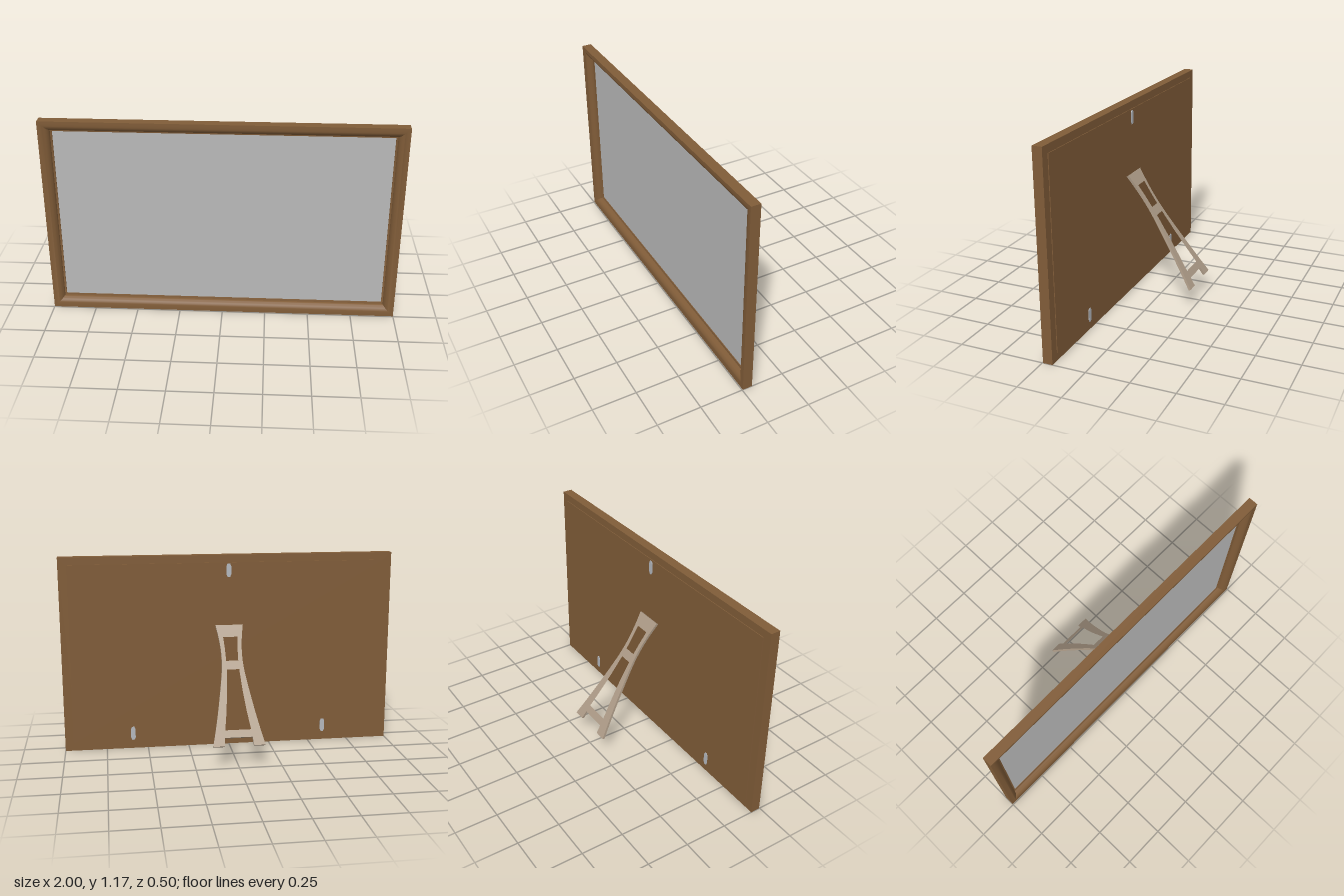
import * as THREE from 'three';
import { toCreasedNormals } from 'three/addons/utils/BufferGeometryUtils.js';

const material = (name, color) => {
  const m = new THREE.MeshStandardMaterial({ color });
  m.name = name;
  return m;
};

const W = 1, H = 1.175; // half width and full height of the frame
const BACK = 0.19, FRONT = 0.246;

// Sweeps a closed [inset, z] profile round the rectangle with mitred corners
function mitredFrame(profile) {
  const corner = (i, [d, z]) => [
    [-W + d, d, z], [W - d, d, z], [W - d, H - d, z], [-W + d, H - d, z],
  ][i % 4];
  const pos = [];
  for (let side = 0; side < 4; side++) {
    for (let k = 0; k < profile.length; k++) {
      const p = profile[k], q = profile[(k + 1) % profile.length];
      const a = corner(side, p), b = corner(side + 1, p);
      const c = corner(side + 1, q), d = corner(side, q);
      pos.push(...a, ...b, ...c, ...a, ...c, ...d);
    }
  }
  const g = new THREE.BufferGeometry();
  g.setAttribute('position', new THREE.Float32BufferAttribute(pos, 3));
  return toCreasedNormals(g, 0.5);
}

// Shape from [halfWidth, distanceDown] pairs, mirrored across x = 0
function mirrored(points, Type) {
  const right = points.map(([x, t]) => new THREE.Vector2(x, -t));
  const left = points.map(([x, t]) => new THREE.Vector2(-x, -t)).reverse();
  return new Type([...right, ...left]);
}

export function createModel() {
  const model = new THREE.Group();
  model.name = 'pictureFrame';
  const wood = material('brown wood', 0x805c38);
  const glass = material('grey pane', 0xb8b8b8);
  const beige = material('beige stand', 0xac9a86);
  const steel = material('steel', 0xb4b8be);

  const add = (name, geometry, mat, x = 0, y = 0, z = 0, parent = model) => {
    const mesh = new THREE.Mesh(geometry, mat);
    mesh.name = name;
    mesh.position.set(x, y, z);
    parent.add(mesh);
    return mesh;
  };

  // Frame moulding: flat outer edge, rounded inner face, small inner lip
  const profile = [[0, BACK], [0, FRONT], [0.012, FRONT]];
  for (let i = 1; i <= 8; i++) {
    const a = (i / 8) * Math.PI / 2;
    profile.push([0.012 + 0.048 * Math.sin(a), 0.208 + 0.038 * Math.cos(a)]);
  }
  profile.push([0.07, 0.205], [0.07, BACK]);
  add('frame', mitredFrame(profile), wood);

  // Pane and backing board
  add('pane', new THREE.BoxGeometry(1.87, 1.045, 0.008), glass, 0, H / 2, 0.197);
  add('backBoard', new THREE.BoxGeometry(1.9, 1.085, 0.007), wood, 0, H / 2, 0.1895);

  // Turn clips that hold the board
  const clipShape = mirrored(
    [[0.007, -0.041], [0.014, -0.026], [0.014, 0.026], [0.007, 0.041]], THREE.Shape);
  const clipGeometry = new THREE.ExtrudeGeometry(clipShape, { depth: 0.004, bevelEnabled: false });
  const pinGeometry = new THREE.CylinderGeometry(0.006, 0.006, 0.01, 12).rotateX(Math.PI / 2);
  for (const [x, y] of [[0, 1.084], [-0.59, 0.097], [0.59, 0.097]]) {
    const clip = new THREE.Group();
    clip.name = 'turnClip';
    clip.position.set(x, y, 0.178);
    add('clipPlate', clipGeometry, steel, 0, 0, 0, clip);
    add('clipPin', pinGeometry, steel, 0, 0, 0.005, clip);
    model.add(clip);
  }

  // Leaning stand with a narrow waist, two openings and a forked foot
  const waist = new THREE.SplineCurve([
    [0.083, 0], [0.07, 0.08], [0.062, 0.18], [0.068, 0.3],
    [0.1, 0.5], [0.129, 0.65], [0.152, 0.75],
  ].map(([x, t]) => new THREE.Vector2(x, t)));
  const outline = waist.getPoints(24).map(p => [p.x, p.y]);
  const standShape = mirrored([...outline, [0.085, 0.75], [0.08, 0.7]], THREE.Shape);
  standShape.holes.push(
    mirrored([[0.043, 0.078], [0.038, 0.15], [0.036, 0.23]], THREE.Path),
    mirrored([[0.037, 0.285], [0.046, 0.42], [0.06, 0.55], [0.075, 0.655]], THREE.Path));
  const standGeometry = new THREE.ExtrudeGeometry(standShape, { depth: 0.014, bevelEnabled: false });
  standGeometry.translate(0, 0, -0.007);
  const stand = add('stand', toCreasedNormals(standGeometry, 0.5), beige, 0, 0.752, 0.176);
  stand.rotation.x = 0.594;

  return model;
}
